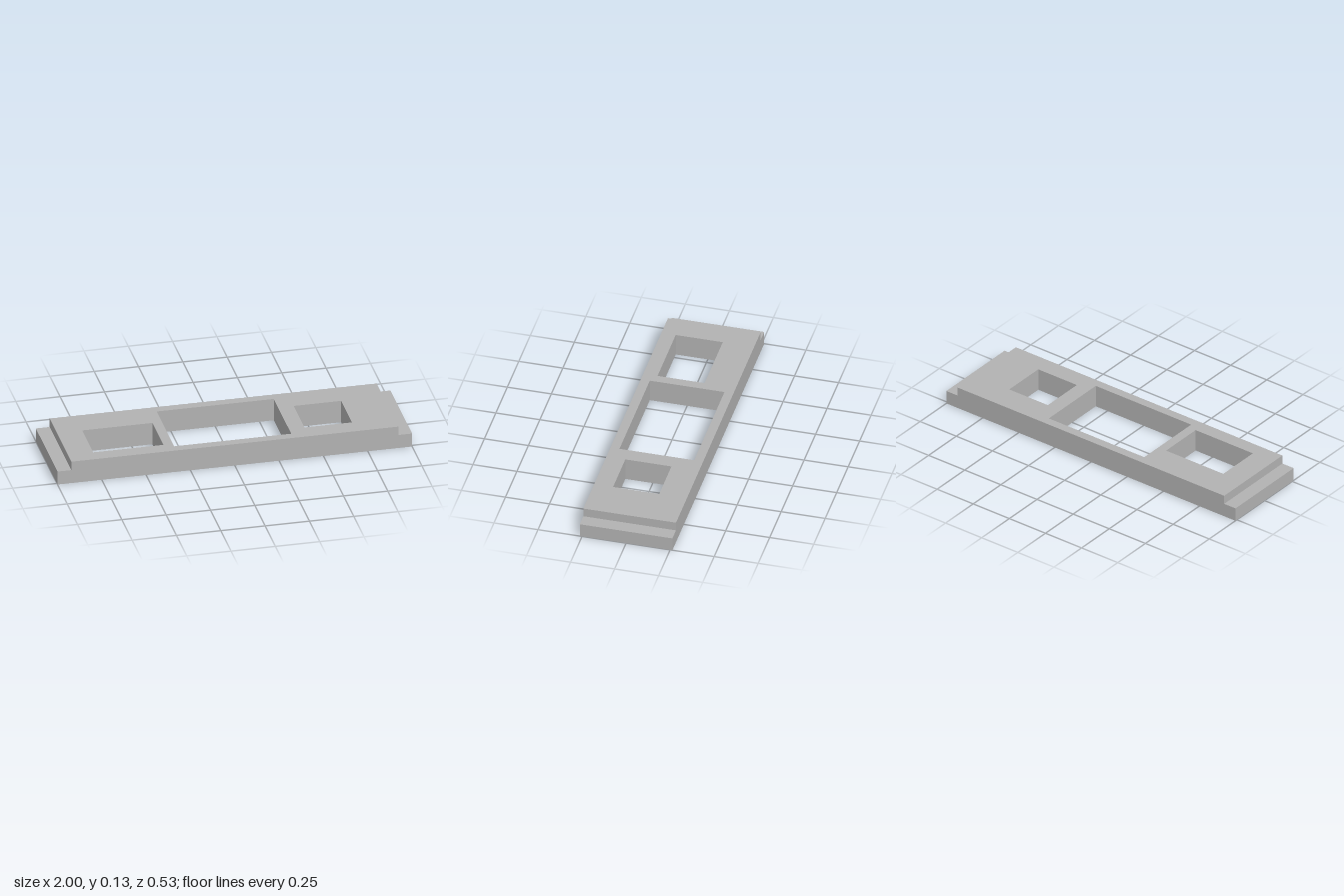
import * as THREE from 'three';

const HEIGHT = 0.132, LEDGE = 0.08, INNER = 0.922, DEPTH = 0.263;

// Adds a closed rectangle to a shape or path
function rect(path, x0, x1, z0, z1) {
  path.moveTo(x0, -z1);
  path.lineTo(x1, -z1);
  path.lineTo(x1, -z0);
  path.lineTo(x0, -z0);
  path.closePath();
  return path;
}

export function createModel() {
  const group = new THREE.Group();
  group.name = 'steppedPlate';
  const grey = new THREE.MeshStandardMaterial({ color: 0xb2b2b2 });
  grey.name = 'grey';

  // Main plate with three rectangular openings: x0, x1, z0, z1
  const openings = [
    [-0.78, -0.384, -0.085, 0.182],
    [-0.33, 0.33, -0.212, 0.212],
    [0.418, 0.685, -0.106, 0.156],
  ];
  const outline = rect(new THREE.Shape(), -INNER, INNER, -DEPTH, DEPTH);
  openings.forEach((o) => outline.holes.push(rect(new THREE.Path(), ...o)));
  const plateGeo = new THREE.ExtrudeGeometry(outline, { depth: HEIGHT, bevelEnabled: false });
  plateGeo.rotateX(-Math.PI / 2);
  const plate = new THREE.Mesh(plateGeo, grey);
  plate.name = 'plate';
  group.add(plate);

  // Lower ledge at each end
  for (const side of [-1, 1]) {
    const ledge = new THREE.Mesh(new THREE.BoxGeometry(1 - INNER, LEDGE, DEPTH * 2), grey);
    ledge.position.set(side * (1 + INNER) / 2, LEDGE / 2, 0);
    ledge.name = side > 0 ? 'leftLedge' : 'rightLedge';
    group.add(ledge);
  }
  return group;
}
